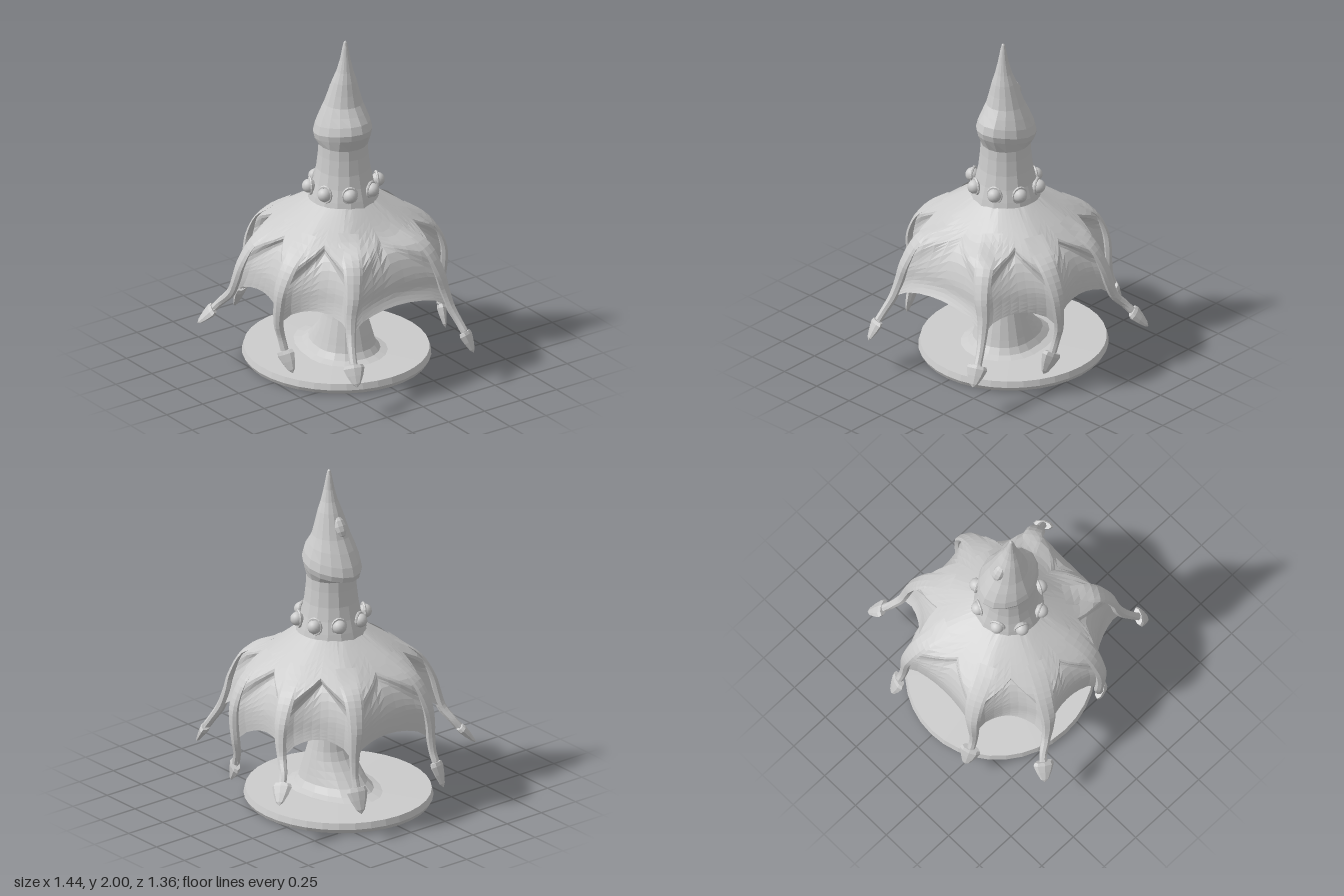
import * as THREE from 'three';

const V = (x, y, z) => new THREE.Vector3(x, y, z);
const smooth = THREE.MathUtils.smoothstep;
const lerp = THREE.MathUtils.lerp;
const flat = new THREE.MeshStandardMaterial({ color: 0xcccccc, flatShading: true, side: THREE.DoubleSide });
const soft = new THREE.MeshStandardMaterial({ color: 0xcccccc });

function add(parent, name, geometry, material = flat) {
  const mesh = new THREE.Mesh(geometry, material);
  mesh.name = name;
  parent.add(mesh);
  return mesh;
}

// Surface through a grid of points: point(row, column)
function gridGeometry(rows, cols, point) {
  const pos = [], idx = [];
  for (let r = 0; r <= rows; r++)
    for (let c = 0; c <= cols; c++) pos.push(...point(r, c).toArray());
  for (let r = 0; r < rows; r++)
    for (let c = 0; c < cols; c++) {
      const a = r * (cols + 1) + c, b = a + cols + 1;
      idx.push(a, b, a + 1, b, b + 1, a + 1);
    }
  const g = new THREE.BufferGeometry();
  g.setAttribute('position', new THREE.Float32BufferAttribute(pos, 3));
  g.setIndex(idx);
  g.computeVertexNormals();
  return g;
}

function lathe(profile, sides) {
  return new THREE.LatheGeometry(profile.map(([r, y]) => new THREE.Vector2(r, y)), sides);
}

function warp(geometry, rule) {
  const p = geometry.attributes.position, v = V(0, 0, 0);
  for (let i = 0; i < p.count; i++) {
    rule(v.fromBufferAttribute(p, i));
    p.setXYZ(i, v.x, v.y, v.z);
  }
  geometry.computeVertexNormals();
  return geometry;
}

// Arm paths on the left side, front to back; the sixth point is where the web ends
const CZ = -0.03;
const leftArms = [
  [[0.085, 1.03, 0.14], [0.19, 0.895, 0.29], [0.255, 0.81, 0.42], [0.3, 0.66, 0.485], [0.325, 0.55, 0.5], [0.345, 0.45, 0.53], [0.37, 0.37, 0.575], [0.385, 0.315, 0.61], [0.405, 0.2, 0.675]],
  [[0.185, 1.03, 0.04], [0.4, 0.88, 0.12], [0.5, 0.785, 0.14], [0.56, 0.65, 0.145], [0.57, 0.54, 0.14], [0.565, 0.43, 0.13], [0.55, 0.35, 0.135], [0.542, 0.275, 0.155], [0.53, 0.15, 0.22]],
  [[0.185, 1.03, -0.11], [0.39, 0.885, -0.18], [0.49, 0.79, -0.23], [0.55, 0.66, -0.26], [0.57, 0.56, -0.28], [0.585, 0.47, -0.31], [0.62, 0.4, -0.365], [0.645, 0.36, -0.39], [0.72, 0.26, -0.45]],
  [[0.08, 1.03, -0.205], [0.19, 0.885, -0.42], [0.23, 0.795, -0.52], [0.26, 0.66, -0.575], [0.275, 0.55, -0.585], [0.28, 0.45, -0.585], [0.285, 0.37, -0.595], [0.29, 0.315, -0.615], [0.3, 0.17, -0.675]],
].map(path => path.map(p => V(...p)));
const arms = [...leftArms, ...leftArms.slice().reverse().map(path => path.map(p => V(-p.x, p.y, p.z)))];
// How far each web panel sags in, starting between the two front left arms
const sags = [0.06, 0.055, 0.09, 0.04, 0.09, 0.055, 0.06, 0.03];

function addMantle(group) {
  const curves = arms.map(p => new THREE.CatmullRomCurve3(p.slice(0, 6)));
  const capRows = 6, stepRows = 3, webRows = 9, per = 8;
  add(group, 'webbedMantle', gridGeometry(capRows + stepRows + webRows, per * 8, (r, c) => {
    const k = Math.floor(c / per) % 8, u = (c % per) / per;
    // Rows follow the V-shaped notch where each web drops below the shoulder
    const notch = 0.2 + 0.3 * Math.abs(2 * u - 1), end = notch + 0.12;
    const s = THREE.MathUtils.clamp((r - capRows) / stepRows, 0, 1);
    const t = r <= capRows ? notch * r / capRows
      : r <= capRows + stepRows ? lerp(notch, end, s)
        : lerp(end, 1, (r - capRows - stepRows) / webRows);
    const p = curves[k].getPoint(t).lerp(curves[(k + 1) % 8].getPoint(t), u);
    const arch = Math.sqrt(Math.sin(Math.PI * u));
    const out = V(p.x, 0, p.z - CZ).normalize();
    p.addScaledVector(out, (0.016 * (1 - t) - sags[k] * smooth(s, 0, 1)) * arch);
    p.y += 0.09 * arch * t * t * t;
    return p;
  }));

  // Rounded belly closing the inside above the stem
  const belly = lathe([[0.05, 0.59], [0.14, 0.6], [0.24, 0.635], [0.31, 0.69], [0.345, 0.76], [0.33, 0.83], [0.26, 0.9]], 20);
  add(group, 'belly', belly).position.z = -0.02;
}

function addArm(group, points) {
  const arm = new THREE.Group();
  arm.name = 'arm';
  group.add(arm);
  // Tapered limb that rises gradually out of the shoulder
  const curve = new THREE.CatmullRomCurve3(points.slice(0, 8));
  const rows = 24, sides = 8;
  add(arm, 'limb', gridGeometry(rows, sides, (r, c) => {
    const t = lerp(0.1, 1, r / rows), p = curve.getPoint(t), dir = curve.getTangent(t);
    const out = V(p.x, 0, p.z - CZ).normalize();
    const side = V(0, 0, 0).crossVectors(dir, out).normalize();
    const normal = V(0, 0, 0).crossVectors(side, dir).normalize();
    const width = lerp(0.06, 0.023, smooth(t, 0.1, 0.9));
    const depth = Math.min(width, lerp(0.002, 0.027, smooth(t, 0.1, 0.55)));
    const a = c / sides * Math.PI * 2;
    return p.addScaledVector(side, -Math.cos(a) * width).addScaledVector(normal, Math.sin(a) * depth);
  }));
  // Spade-shaped tip, flat side facing outward
  const start = points[7], end = points[8];
  const dir = end.clone().sub(start).normalize();
  const out = V(end.x, 0, end.z - CZ).normalize();
  const side = V(0, 0, 0).crossVectors(dir, out).normalize();
  const normal = V(0, 0, 0).crossVectors(side, dir);
  const L = start.distanceTo(end);
  const profile = [[0.02, -0.03], [0.024, 0.005], [0.052, 0.005], [0.06, L * 0.18], [0.046, L * 0.5], [0.024, L * 0.85], [0, L]];
  const spade = add(arm, 'spadeTip', lathe(profile, 8).scale(1, 1, 0.45));
  spade.quaternion.setFromRotationMatrix(new THREE.Matrix4().makeBasis(side, dir, normal));
  spade.position.copy(start);
}

function addHead(group) {
  // Neck, flared hood and pointed crown; the hood is deeper than wide and droops at the back
  const head = lathe([[0.215, 0.98], [0.203, 1.02], [0.193, 1.06], [0.172, 1.13], [0.155, 1.21], [0.145, 1.3], [0.142, 1.36],
    [0.156, 1.405], [0.163, 1.44], [0.152, 1.49], [0.132, 1.55], [0.11, 1.61], [0.09, 1.68], [0.07, 1.75],
    [0.049, 1.81], [0.031, 1.88], [0.018, 1.95], [0.009, 1.99], [0, 2]], 16);
  warp(head, v => {
    const hood = smooth(v.y, 1.36, 1.41) * (1 - smooth(v.y, 1.48, 1.65));
    const lobes = 1 + 0.025 * hood * Math.cos(4 * Math.atan2(v.x, v.z));
    v.x *= lobes;
    v.z *= lobes * (1 + 0.18 * hood);
    v.y += 0.18 * v.z * hood;
    v.z += lerp(-0.035, -0.015, smooth(v.y, 1.55, 1.9)) - 0.006 * hood;
  });
  add(group, 'head', head);

  // Small hooked nub on the back of the crown
  const nub = add(group, 'crownNub', new THREE.SphereGeometry(0.04, 8, 6));
  nub.scale.set(0.9, 1.6, 0.8);
  nub.position.set(0, 1.675, -0.112);
  nub.rotation.x = 0.5;

  // Ring of eight eyes in raised lids
  for (const sx of [1, -1])
    for (const [x, z] of [[0.077, 0.142], [0.185, 0.043], [0.185, -0.11], [0.077, -0.202]]) {
      const eye = new THREE.Group();
      eye.name = 'eye';
      eye.position.set(sx * x, 1.105, z);
      eye.rotation.y = Math.atan2(sx * x, z - CZ);
      group.add(eye);
      add(eye, 'eyeball', new THREE.SphereGeometry(0.04, 16, 12), soft);
      const lid = add(eye, 'eyelid', new THREE.TorusGeometry(0.04, 0.008, 6, 14));
      lid.scale.y = 1.15;
      lid.position.z = -0.008;
    }
}

function addStand(group) {
  const base = add(group, 'standBase', lathe([[0, 0], [0.52, 0.006], [0.532, 0.03], [0.522, 0.066], [0.24, 0.072], [0, 0.072]], 36));
  base.scale.z = 1.035;
  base.position.z = -0.1;
  // Stem whose foot spreads further toward the back
  const stem = lathe([[0.25, 0.068], [0.2, 0.085], [0.175, 0.12], [0.163, 0.16], [0.152, 0.2], [0.138, 0.25], [0.124, 0.3],
    [0.1, 0.4], [0.083, 0.5], [0.08, 0.65]], 20);
  warp(stem, v => {
    if (v.z < 0) v.z *= 1 + 0.6 * (1 - smooth(v.y, 0.08, 0.3));
    v.z -= 0.015;
  });
  add(group, 'standStem', stem);
}

export function createModel() {
  const group = new THREE.Group();
  group.name = 'squidOnStand';
  addStand(group);
  addMantle(group);
  arms.forEach(points => addArm(group, points));
  addHead(group);
  return group;
}
